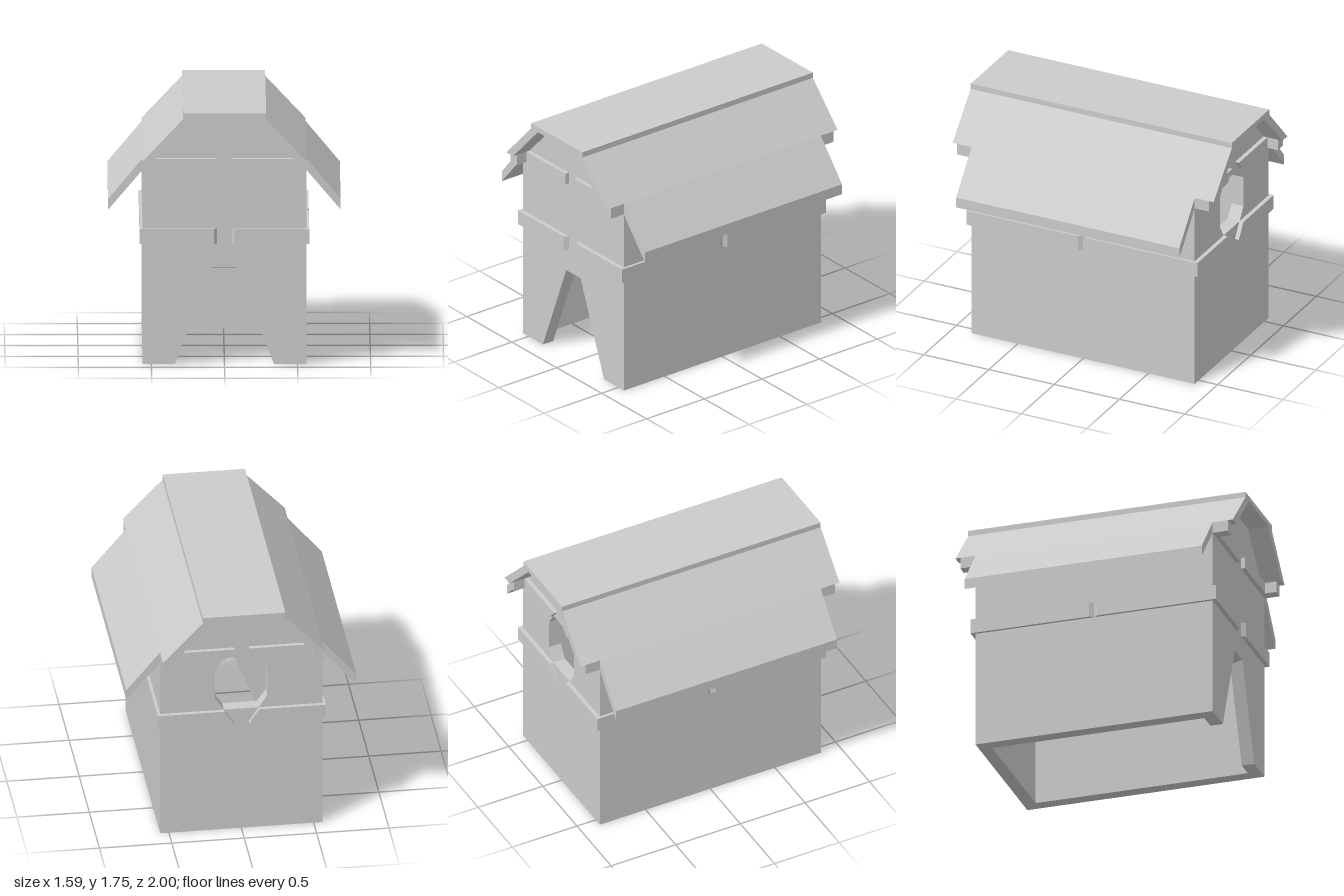
import * as THREE from 'three';

const mat = new THREE.MeshStandardMaterial({ color: 0xcccccc, flatShading: true });
const toPoints = (pts) => pts.map(([x, y]) => new THREE.Vector2(x, y));
const flip = (pts, s) => pts.map(([x, y]) => [s * x, y]);
// Closes a half outline by adding its mirror image across x = 0
const mirrored = (half) => [...half, ...flip(half, -1).reverse()];

export function createModel() {
  const group = new THREE.Group();

  function add(name, geometry) {
    const mesh = new THREE.Mesh(geometry, mat);
    mesh.name = name;
    group.add(mesh);
  }
  function extrude(pts, depth, holes = []) {
    const shape = new THREE.Shape(toPoints(pts));
    holes.forEach((h) => shape.holes.push(new THREE.Path(toPoints(h))));
    return new THREE.ExtrudeGeometry(shape, { depth, bevelEnabled: false });
  }
  // Outline in x,y pushed along z from z0 to z1
  const slabZ = (name, pts, z0, z1, holes) =>
    add(name, extrude(pts, z1 - z0, holes).translate(0, 0, z0));
  // Plan outline in x,z pushed up from y0 to y1
  const slabY = (name, plan, y0, y1) =>
    add(name, extrude(plan.map(([x, z]) => [x, -z]), y1 - y0).rotateX(-Math.PI / 2).translate(0, y0, 0));

  const W = 0.56, D = 0.855, T = 0.09;

  // Gable walls: tapered doorway in front, eight-sided window behind
  const gable = [[W, 1.425], [0.21, 1.716]];
  slabZ('frontWall', mirrored([[0.08, 0.67], [0.34, 0], [W, 0], ...gable]), D - T, D);
  const windowHole = mirrored([[0.12, 0.94], [0.18, 1.03], [0.18, 1.25], [0.12, 1.345]]);
  slabZ('backWall', mirrored([[W, 0], ...gable]), -D, -D + T, [windowHole]);

  // Sloping underside at the top of the doorway
  add('doorLintel', extrude([[-D, 0.67], [-D + T, 0.65], [-D + T, 0.67]], 0.17)
    .rotateY(Math.PI / 2).translate(-0.085, 0, 0));

  // Roof cap and upper slopes in one folded slab
  slabZ('upperRoof', [
    [W, 1.425], [0.285, 1.715], [0.285, 1.755], [-0.285, 1.755], [-0.285, 1.715], [-W, 1.425],
    [-0.485, 1.425], [-0.21, 1.715], [0.21, 1.715], [0.485, 1.425],
  ], -1, 1);

  for (const s of [1, -1]) {
    const side = (pts) => flip(pts, s);
    slabZ('sideWall', side([[W - T, 0], [W, 0], [W, 1.425], [W - T, 1.425]]), -D + T, D - T);
    slabZ('lowerRoof', side([[W, 1.425], [0.795, 1.145], [0.795, 1.07], [W, 1.345]]), -D, D);

    // Belt around the walls, notched at the middle of each side
    slabY('frontBelt', side([[0.05, D], [0.07, 0.885], [0.58, 0.885], [0.58, 0.03], [W, 0], [W, D]]), 0.835, 0.94);
    slabY('sideBelt', side([[W, 0], [0.58, -0.03], [0.58, -0.885], [W, -0.885]]), 0.835, 0.94);
    slabZ('backBelt', side([[0.05, 0.835], [W, 0.835], [W, 0.94], [0.12, 0.94]]), -0.885, -D);

    // Upper trim strips, cut to follow the window at the back
    slabZ('frontTrim', side([[0.05, 1.345], [0.485, 1.345], [0.485, 1.425], [0.05, 1.425]]), D, 0.885);
    slabZ('backTrim', side([[0.12, 1.345], [0.485, 1.345], [0.485, 1.425], [0.05, 1.425]]), -0.885, -D);

    // Beam ends under the roof overhang
    for (const f of [1, -1]) {
      add('beamEnd', new THREE.BoxGeometry(0.075, 0.08, 0.11).translate(s * 0.5225, 1.385, f * 0.91));
    }
  }
  return group;
}
